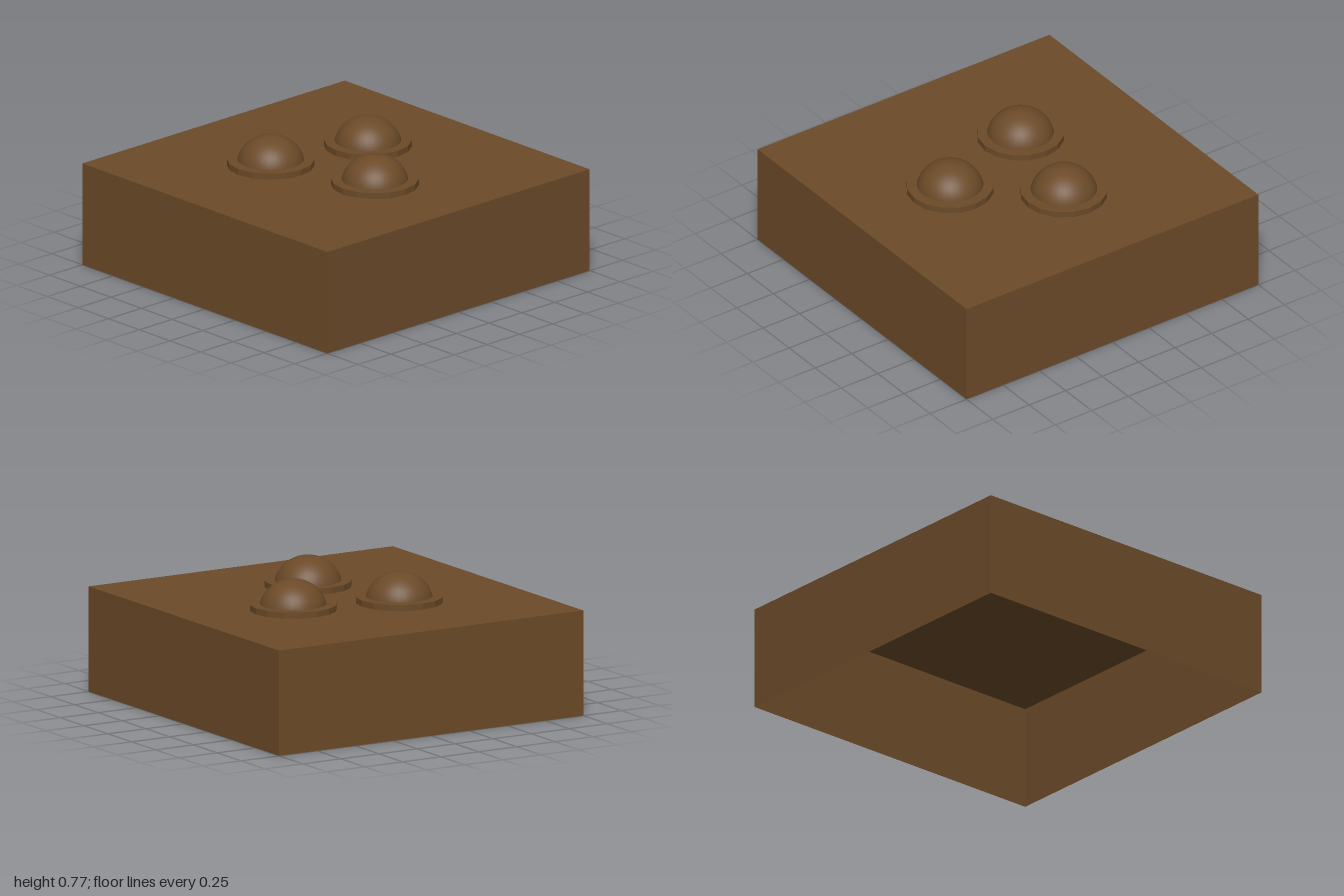
import * as THREE from 'three';

const SIZE = 2, TOP = 0.6;
const brown = new THREE.MeshStandardMaterial({ color: 0x6b4a28, side: THREE.DoubleSide });
const brownFlat = new THREE.MeshStandardMaterial({ color: 0x6b4a28, flatShading: true });

function addMesh(parent, name, geometry, material) {
  const mesh = new THREE.Mesh(geometry, material);
  mesh.name = name;
  parent.add(mesh);
  return mesh;
}

// Block with thin walls, open underneath
function createBlock() {
  const block = new THREE.Group();
  block.name = 'block';
  for (let i = 0; i < 4; i++) {
    const wall = new THREE.PlaneGeometry(SIZE, TOP);
    wall.translate(0, TOP / 2, SIZE / 2).rotateY(i * Math.PI / 2);
    addMesh(block, 'wall', wall, brown);
  }
  const lid = new THREE.PlaneGeometry(SIZE, SIZE);
  lid.rotateX(-Math.PI / 2).translate(0, TOP, 0);
  addMesh(block, 'topSurface', lid, brown);
  return block;
}

// Flattened dome sitting in a low sixteen-sided rim
function createStud(x, z) {
  const stud = new THREE.Group();
  stud.name = 'stud';
  const rim = new THREE.CylinderGeometry(0.245, 0.245, 0.035, 16);
  rim.translate(0, 0.0175, 0);
  addMesh(stud, 'rim', rim, brownFlat);
  const dome = new THREE.SphereGeometry(1, 32, 16, 0, Math.PI * 2, 0, Math.PI / 2);
  dome.scale(0.19, 0.174, 0.19);
  addMesh(stud, 'dome', dome, brown);
  stud.position.set(x, TOP, z);
  return stud;
}

export function createModel() {
  const model = new THREE.Group();
  model.name = 'studdedBlock';
  model.add(createBlock());
  for (const [x, z] of [[-0.265, 0.25], [-0.125, -0.36], [0.365, 0.045]]) {
    model.add(createStud(x, z));
  }
  return model;
}
